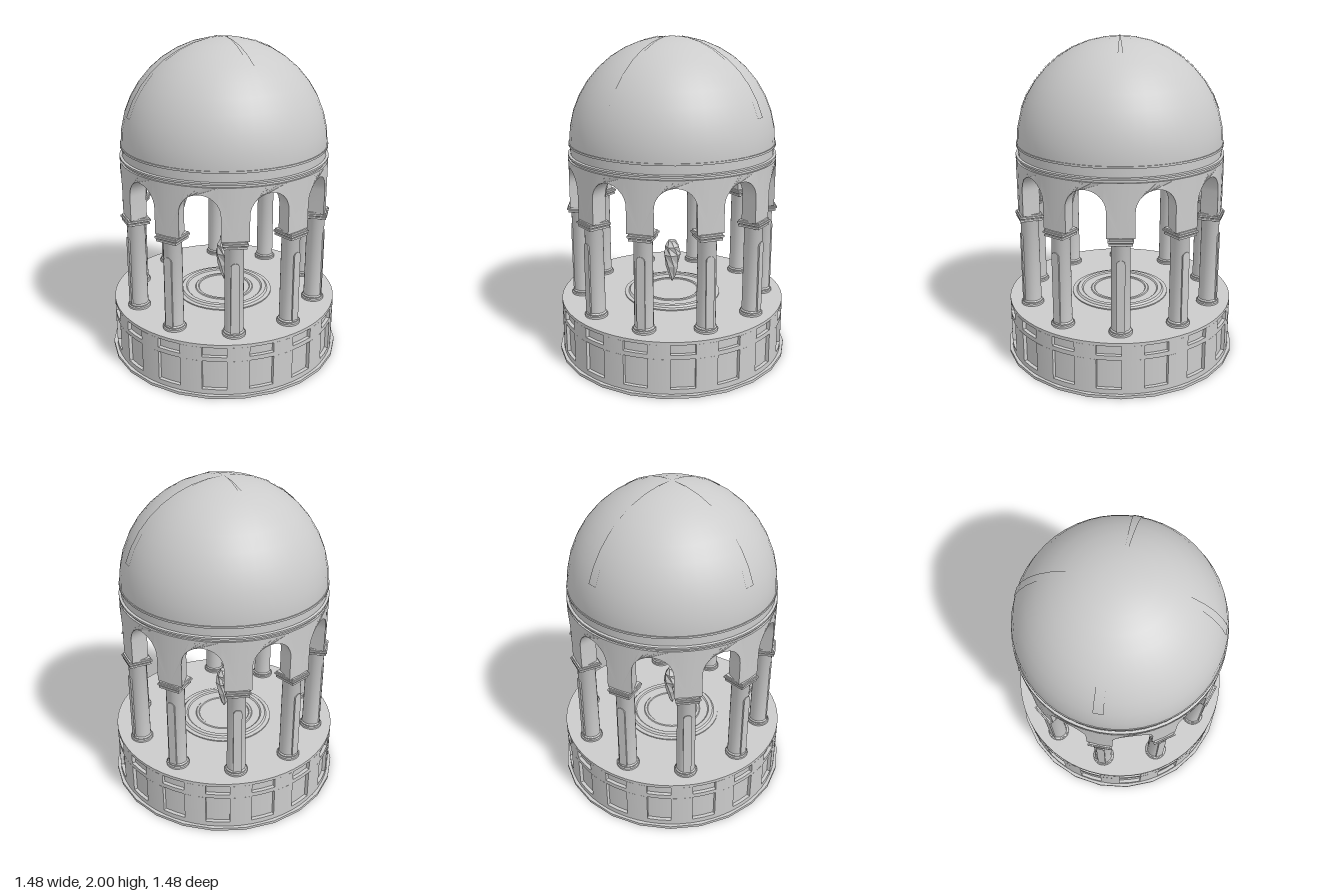
import * as THREE from 'three';
import { mergeGeometries, toCreasedNormals } from 'three/addons/utils/BufferGeometryUtils.js';

const grey = new THREE.MeshStandardMaterial({ color: 0xcccccc });
const thin = new THREE.MeshStandardMaterial({ color: 0xcccccc, side: THREE.DoubleSide });
const faceted = new THREE.MeshStandardMaterial({ color: 0xcccccc, flatShading: true });
const RAD = Math.PI / 180;

function add(parent, name, geometry, material = grey) {
  const mesh = new THREE.Mesh(geometry, material);
  mesh.name = name;
  parent.add(mesh);
  return mesh;
}

// Turned solid with sharp edges, from [radius, y] pairs
function turned(profile, sides) {
  const pts = profile.map(([r, y]) => new THREE.Vector2(r, y));
  return toCreasedNormals(new THREE.LatheGeometry(pts, sides), 0.6);
}

function cylinder(radius, y0, y1, sides) {
  return new THREE.CylinderGeometry(radius, radius, y1 - y0, sides).translate(0, (y0 + y1) / 2, 0);
}

// Curved block between two radii; angle is measured from the front
function sector(r0, r1, y0, y1, centre, half) {
  const a = centre - 90 * RAD;
  const s = new THREE.Shape();
  s.absarc(0, 0, r1, a - half, a + half, false);
  s.absarc(0, 0, r0, a + half, a - half, true);
  const g = new THREE.ExtrudeGeometry(s, { depth: y1 - y0, bevelEnabled: false, curveSegments: 4 });
  g.rotateX(-Math.PI / 2).translate(0, y0, 0);
  return toCreasedNormals(g, 0.5);
}

// One arched bay, bent around the axis with parallel sides to its opening
function archBay(inner, outer, turn) {
  const w = 0.12, edge = 0.2, y0 = 0.955, spring = 1.11, top = 1.275, n = 16;
  const pts = [[-edge, y0], [-w, y0]];
  for (let i = 0; i <= n; i++) {
    const t = Math.PI * (1 - i / n);
    pts.push([w * Math.cos(t), spring + w * Math.sin(t)]);
  }
  pts.push([w, y0], [edge, y0], [edge, top]);
  for (let i = 0; i <= n; i++) pts.push([w * Math.cos(Math.PI * i / n), top]);
  pts.push([-edge, top]);
  const shape = new THREE.Shape(pts.map(p => new THREE.Vector2(...p)));
  const g = new THREE.ExtrudeGeometry(shape, { depth: 1, bevelEnabled: false });
  const p = g.attributes.position;
  for (let i = 0; i < p.count; i++) {
    const x = p.getX(i), r = p.getZ(i) > 0.5 ? outer : inner;
    const ax = Math.abs(x);
    let a = Math.asin(Math.min(ax, w) / r);
    if (ax > w) a += (18 * RAD - a) * (ax - w) / (edge - w);
    a *= Math.sign(x);
    p.setXYZ(i, r * Math.sin(a), p.getY(i), r * Math.cos(a));
  }
  return g.rotateY(turn);
}

function column() {
  const g = new THREE.Group();
  g.name = 'column';
  add(g, 'shaft', turned([
    [0, 0.35], [0.07, 0.35], [0.07, 0.362], [0.064, 0.367], [0.064, 0.374],
    [0.057, 0.382], [0.055, 0.91], [0.06, 0.92], [0, 0.92],
  ], 20));
  // Slim round-headed panel on the outward face
  const s = new THREE.Shape();
  s.moveTo(-0.025, 0.375);
  s.lineTo(0.025, 0.375);
  s.lineTo(0.025, 0.8);
  s.absarc(0, 0.8, 0.025, 0, Math.PI, false);
  s.closePath();
  const panel = new THREE.ExtrudeGeometry(s, { depth: 0.02, bevelEnabled: false, curveSegments: 8 });
  add(g, 'shaftPanel', panel.translate(0, 0, 0.038));
  // Stepped square capital
  [[0.134, 0.917, 0.929], [0.122, 0.929, 0.937], [0.146, 0.937, 0.948], [0.132, 0.948, 0.958]].forEach(([w, a, b]) => {
    add(g, 'capitalStep', new THREE.BoxGeometry(w, b - a, w).translate(0, (a + b) / 2, 0));
  });
  return g;
}

export function createModel() {
  const model = new THREE.Group();
  model.name = 'domedPavilion';

  // Round base with two rows of recessed panels
  const base = new THREE.Group();
  base.name = 'base';
  model.add(base);
  add(base, 'footSlab', cylinder(0.74, 0, 0.018, 24));
  add(base, 'baseCore', cylinder(0.695, 0.015, 0.345, 64));
  for (const [y0, y1] of [[0.018, 0.05], [0.24, 0.268], [0.33, 0.35]]) {
    add(base, 'baseBand', cylinder(0.717, y0, y1, 64));
  }
  for (let i = 0; i < 16; i++) {
    const a = (5.625 + 22.5 * i) * RAD;
    for (const [y0, y1] of [[0.05, 0.24], [0.268, 0.33]]) {
      add(base, 'panelPost', sector(0.69, 0.717, y0, y1, a, 5.35 * RAD));
    }
  }

  // Low ringed dais in the middle of the floor
  add(model, 'dais', turned([
    [0.31, 0.349], [0.31, 0.357], [0.285, 0.359], [0.275, 0.37], [0.25, 0.37],
    [0.242, 0.363], [0.19, 0.363], [0.185, 0.368], [0.17, 0.368], [0.165, 0.363], [0, 0.363],
  ], 40));

  // Floating cut crystal
  const crystal = new THREE.LatheGeometry([
    [0, 0.415], [0.02, 0.45], [0.042, 0.53], [0.056, 0.61], [0.047, 0.665], [0.024, 0.703], [0, 0.712],
  ].map(p => new THREE.Vector2(...p)), 7);
  const cp = crystal.attributes.position;
  for (let i = 0; i < cp.count; i++) {
    const twist = (i % 7) * 0.45, x = cp.getX(i), z = cp.getZ(i);
    cp.setX(i, x * Math.cos(twist) - z * Math.sin(twist));
    cp.setZ(i, x * Math.sin(twist) + z * Math.cos(twist));
  }
  add(model, 'crystal', crystal, faceted);

  // Ring of ten columns
  for (let i = 0; i < 10; i++) {
    const a = (18 + 36 * i) * RAD, c = column();
    c.position.set(0.585 * Math.sin(a), 0, 0.585 * Math.cos(a));
    c.rotation.y = a;
    model.add(c);
  }

  // Arcade of ten round arches
  const bays = [];
  for (let i = 0; i < 10; i++) bays.push(archBay(0.53, 0.643, 36 * i * RAD));
  add(model, 'arcade', toCreasedNormals(mergeGeometries(bays), 0.5));

  // Moulded drum under the dome
  add(model, 'drum', turned([
    [0.53, 1.27], [0.632, 1.27], [0.632, 1.289], [0.643, 1.289], [0.643, 1.3], [0.628, 1.303],
    [0.628, 1.355], [0.638, 1.355], [0.638, 1.367], [0.6, 1.367], [0.59, 1.31], [0.53, 1.3], [0.53, 1.27],
  ], 60));

  // Dome with four tapering ribs that meet at the crown
  const domeY = 1.363;
  add(model, 'dome', new THREE.SphereGeometry(0.633, 48, 10, 0, Math.PI * 2, 0, Math.PI / 2).translate(0, domeY, 0), thin);
  for (let i = 0; i < 4; i++) {
    const rib = new THREE.SphereGeometry(0.637, 2, 8, i * Math.PI / 2 - 0.05, 0.1, 0, 0.4 * Math.PI);
    add(model, 'domeRib', rib.translate(0, domeY, 0), thin);
  }
  return model;
}
